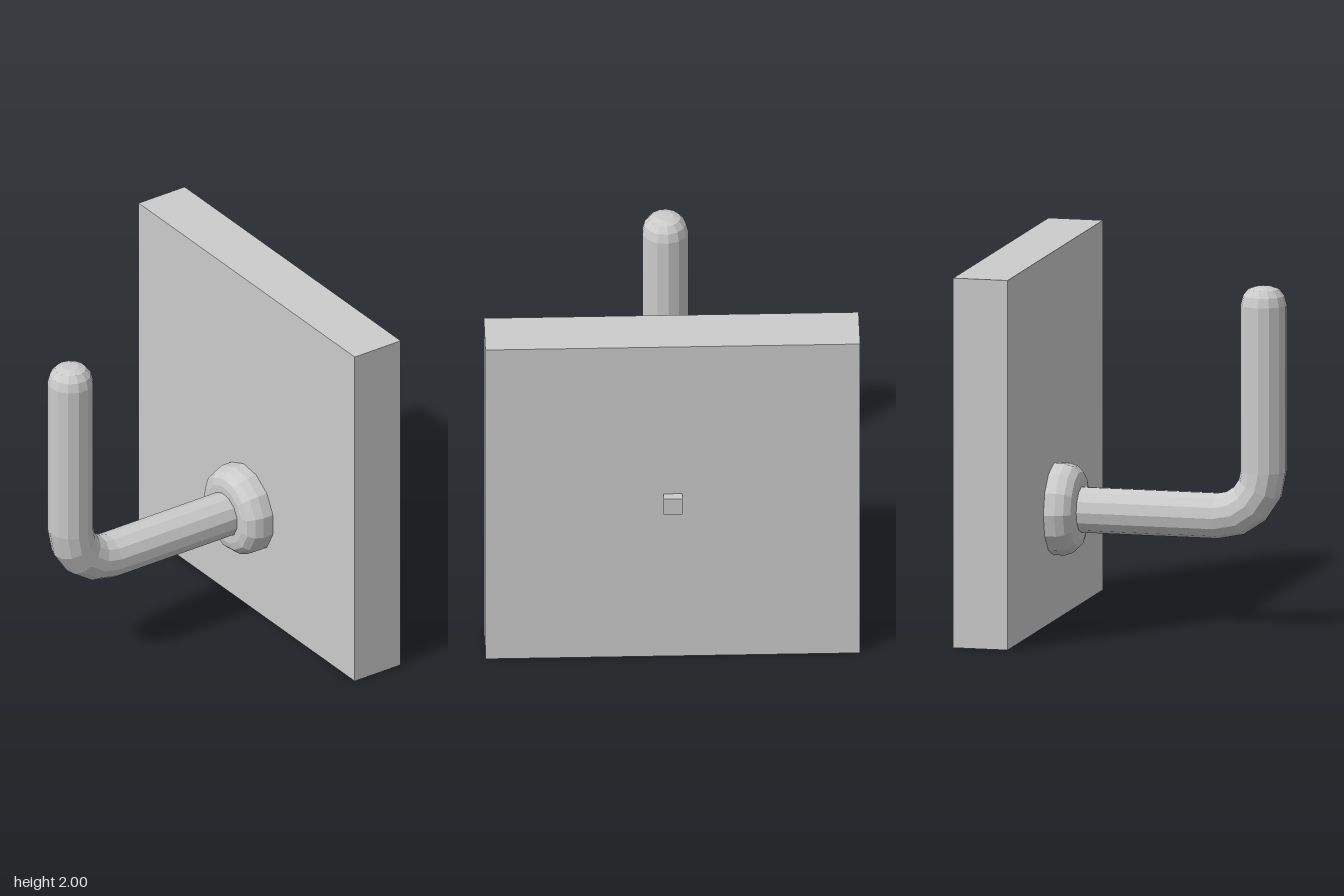
import * as THREE from 'three';

const SIDES = 13;
const AXIS_Y = 0.605; // height of the horizontal arm

// Skin round rings along a path in the yz plane; station = [y, z, angle, radius],
// angle 0 heads to +z and PI/2 heads to +y.
function sweep(stations) {
  const pos = [], index = [];
  for (const [y, z, angle, r] of stations) {
    for (let i = 0; i < SIDES; i++) {
      const a = Math.PI + (i / SIDES) * Math.PI * 2;
      const n = r * Math.sin(a);
      pos.push(r * Math.cos(a), y + n * Math.cos(angle), z - n * Math.sin(angle));
    }
  }
  for (let s = 0; s < stations.length - 1; s++) {
    for (let i = 0; i < SIDES; i++) {
      const a = s * SIDES + i, b = s * SIDES + (i + 1) % SIDES;
      index.push(a, b, b + SIDES, a, b + SIDES, a + SIDES);
    }
  }
  const geometry = new THREE.BufferGeometry();
  geometry.setAttribute('position', new THREE.Float32BufferAttribute(pos, 3));
  geometry.setIndex(index);
  geometry.computeVertexNormals();
  return geometry;
}

export function createModel() {
  const group = new THREE.Group();
  const material = new THREE.MeshStandardMaterial({ color: 0xcccccc, flatShading: true });
  const add = (name, geometry, x = 0, y = 0, z = 0) => {
    const mesh = new THREE.Mesh(geometry, material);
    mesh.name = name;
    mesh.position.set(x, y, z);
    group.add(mesh);
  };

  // Wall block and the small peg on its back
  add('backPlate', new THREE.BoxGeometry(2, 2, 0.3), 0, 1, -0.61);
  add('rearPeg', new THREE.BoxGeometry(0.1, 0.1, 0.05), 0, 1, -0.785);

  // Rounded collar where the hook meets the plate
  const collar = [[-0.46, 0.25], [-0.4, 0.25], [-0.355, 0.235], [-0.323, 0.205], [-0.312, 0.165], [-0.312, 0]];
  add('collar', sweep(collar.map(([z, r]) => [AXIS_Y, z, 0, r])));

  // Hook: straight arm, quarter bend, upright and domed tip
  const radius = 0.124, bend = 0.25, uprightZ = 0.69;
  const hook = [[AXIS_Y, -0.46, 0, radius]];
  for (let i = 0; i <= 4; i++) {
    const t = (i / 4) * Math.PI / 2;
    hook.push([AXIS_Y + bend * (1 - Math.cos(t)), uprightZ - bend + bend * Math.sin(t), t, radius]);
  }
  for (const [y, r] of [[1.755, radius], [1.805, 0.111], [1.84, 0.083], [1.853, 0.045], [1.855, 0]]) {
    hook.push([y, uprightZ, Math.PI / 2, r]);
  }
  add('hook', sweep(hook));

  return group;
}
